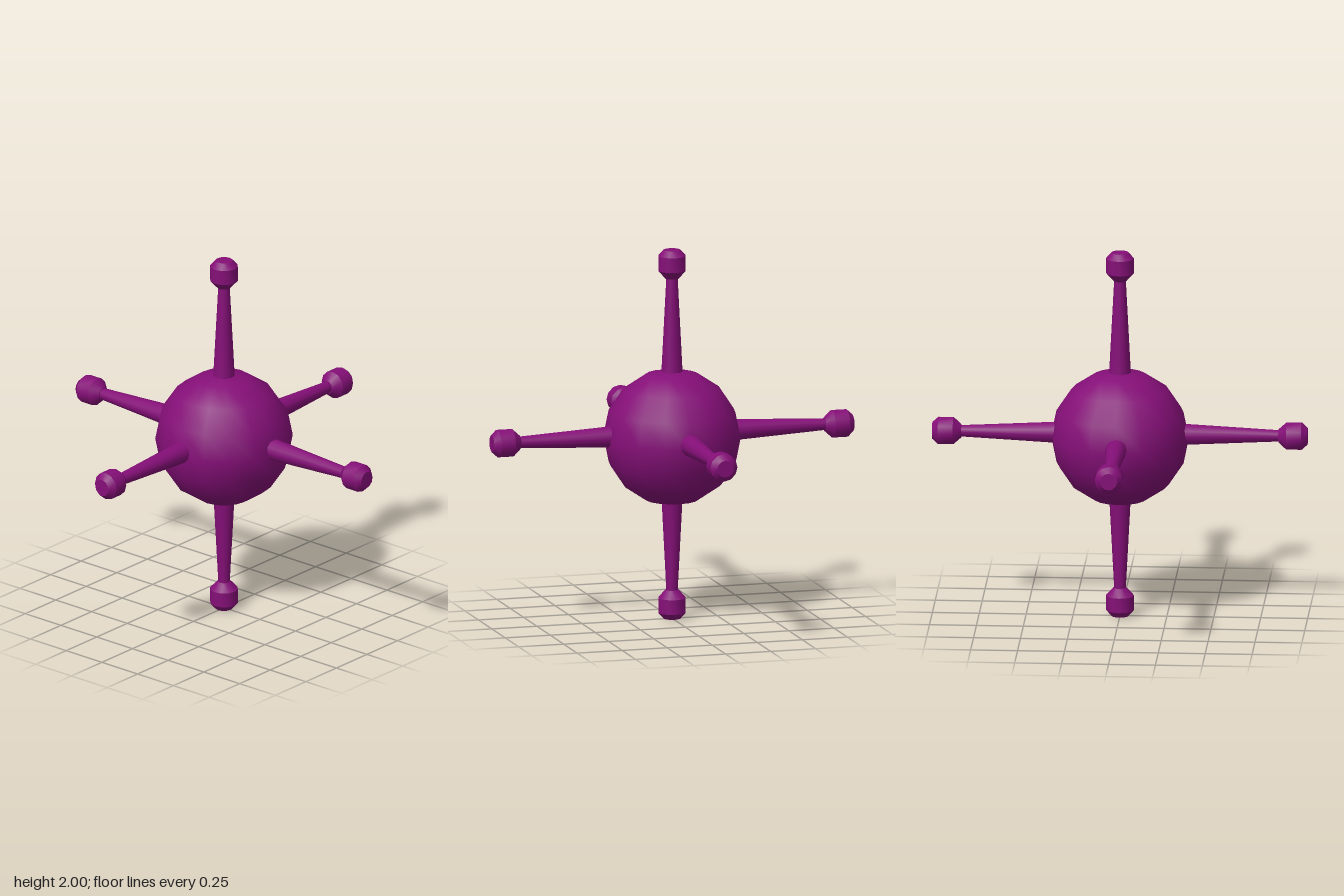
import * as THREE from 'three';
import { toCreasedNormals } from 'three/addons/utils/BufferGeometryUtils.js';

export function createModel() {
  const group = new THREE.Group();
  const material = new THREE.MeshStandardMaterial({ color: 0x850f78 });

  // Round body, sitting slightly below the crossing of the spikes
  const body = new THREE.Mesh(new THREE.SphereGeometry(0.367, 16, 8), material);
  body.name = 'body';
  body.position.set(0, 0.985, 0);
  group.add(body);

  // Tapered shaft along +y, its base buried in the body
  const shaftGeometry = new THREE.CylinderGeometry(0.03, 0.06, 0.57, 12, 1);
  shaftGeometry.translate(0, 0.585, 0);

  // Chamfered knob at the tip
  const profile = [[0, 0.845], [0.036, 0.845], [0.075, 0.888], [0.075, 0.968], [0.046, 1], [0, 1]];
  const knobGeometry = toCreasedNormals(
    new THREE.LatheGeometry(profile.map(([r, y]) => new THREE.Vector2(r, y)), 12),
    0.55
  );

  // Six spikes, one along each axis direction
  const up = new THREE.Vector3(0, 1, 0);
  const directions = {
    top: [0, 1, 0], bottom: [0, -1, 0],
    left: [1, 0, 0], right: [-1, 0, 0],
    front: [0, 0, 1], back: [0, 0, -1],
  };
  for (const [side, direction] of Object.entries(directions)) {
    const spike = new THREE.Group();
    spike.name = `${side}Spike`;
    const shaft = new THREE.Mesh(shaftGeometry, material);
    shaft.name = 'shaft';
    const knob = new THREE.Mesh(knobGeometry, material);
    knob.name = 'knob';
    spike.add(shaft, knob);
    spike.quaternion.setFromUnitVectors(up, new THREE.Vector3(...direction));
    spike.position.y = direction[1] === 0 ? 1.004 : 1;
    group.add(spike);
  }
  return group;
}
